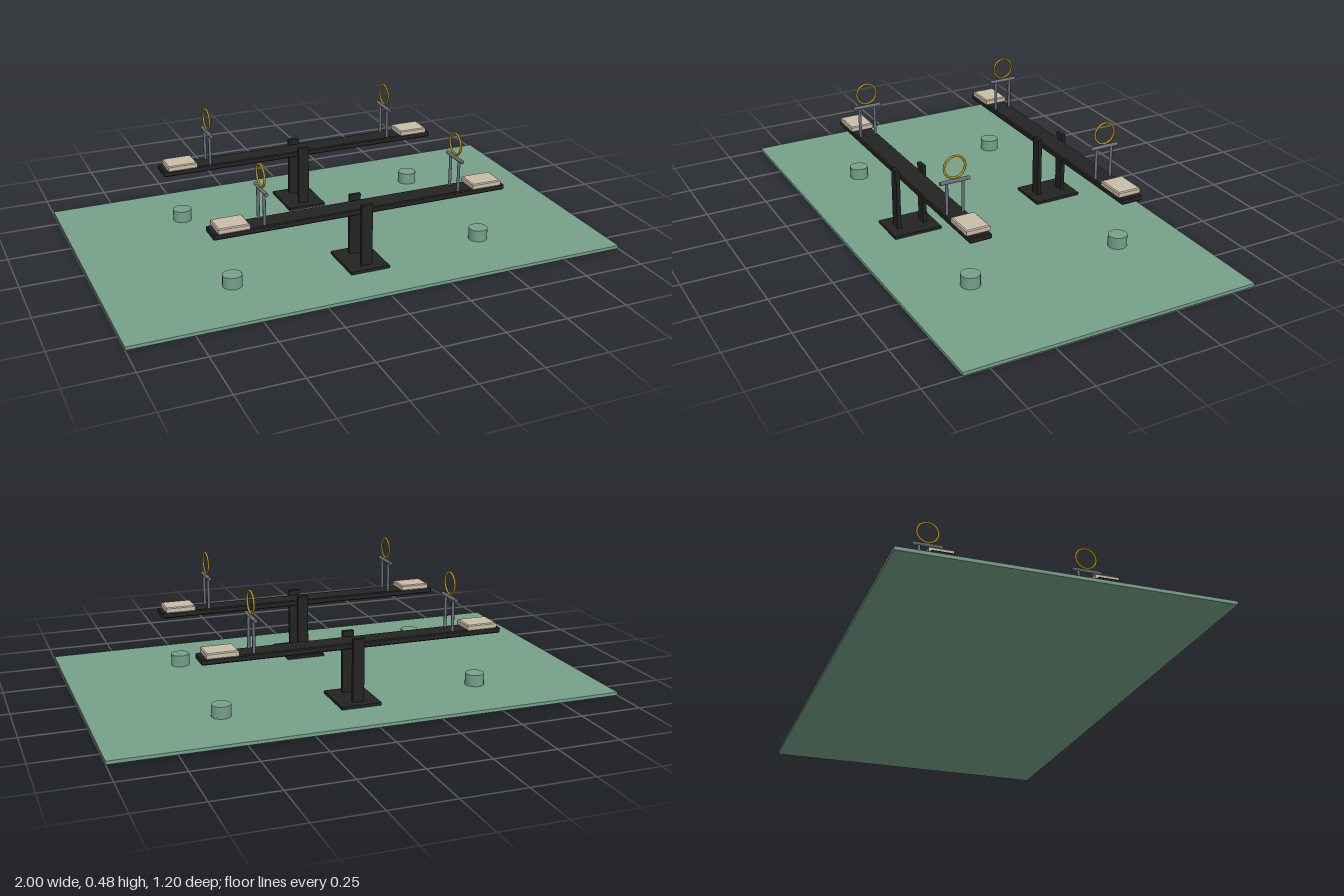
import * as THREE from 'three';

const mat = (name, color) => Object.assign(new THREE.MeshStandardMaterial({ color }), { name });

export function createModel() {
  const green = mat('playground green', 0x76a08a);
  const black = mat('painted black', 0x232323);
  const cream = mat('seat cream', 0xc9bda8);
  const steel = mat('steel grey', 0x6a6f78);
  const gold = mat('ring gold', 0xb08d14);
  const model = new THREE.Group();
  model.name = 'seesawPlayground';

  const add = (parent, name, geo, material, x, y, z) => {
    const mesh = new THREE.Mesh(geo, material);
    mesh.name = name;
    mesh.position.set(x, y, z);
    parent.add(mesh);
    return mesh;
  };
  const box = (w, h, d) => new THREE.BoxGeometry(w, h, d);
  const cyl = (r, h, n) => new THREE.CylinderGeometry(r, r, h, n);

  // Box with small chamfers along its edges
  const bevelBox = (w, h, d, b) => {
    const s = new THREE.Shape();
    const x = w / 2 - b, z = d / 2 - b;
    s.moveTo(-x, -z).lineTo(x, -z).lineTo(x, z).lineTo(-x, z).closePath();
    return new THREE.ExtrudeGeometry(s, {
      depth: h - 2 * b, bevelEnabled: true, bevelSize: b, bevelThickness: b, bevelSegments: 1,
    }).translate(0, 0, b - h / 2).rotateX(-Math.PI / 2);
  };

  // Ground mat
  add(model, 'groundMat', box(2, 0.013, 1.2), green, 0, 0.0065, 0);

  for (const side of [1, -1]) {
    const seesaw = new THREE.Group();
    seesaw.name = side > 0 ? 'frontSeesaw' : 'backSeesaw';
    seesaw.position.z = side * 0.32;
    model.add(seesaw);

    // Stand with two uprights and a pivot
    add(seesaw, 'footPlate', box(0.16, 0.011, 0.2), black, 0, 0.0185, 0);
    for (const s of [1, -1]) {
      add(seesaw, 'upright', box(0.045, 0.249, 0.016), black, 0, 0.1485, s * 0.056);
    }
    add(seesaw, 'pivot', cyl(0.008, 0.11, 12).rotateX(Math.PI / 2), black, 0, 0.24, 0);

    // Plank
    add(seesaw, 'plank', bevelBox(1.2, 0.024, 0.088, 0.004), black, 0, 0.241, 0);

    for (const e of [1, -1]) {
      // Seat
      add(seesaw, 'seat', bevelBox(0.122, 0.024, 0.096, 0.004), cream, e * 0.521, 0.262, 0);

      // Handle with ring
      for (const s of [1, -1]) {
        add(seesaw, 'handlePost', cyl(0.006, 0.13, 10), steel, e * 0.4, 0.315, s * 0.033);
      }
      add(seesaw, 'handleBar', cyl(0.0075, 0.12, 10).rotateX(Math.PI / 2), steel, e * 0.4, 0.382, 0);
      add(seesaw, 'handleRing', new THREE.TorusGeometry(0.043, 0.0045, 8, 16).rotateY(Math.PI / 2),
        gold, e * 0.4, 0.437, 0);

      // Bumper under the seat
      add(seesaw, 'bumper', cyl(0.038, 0.048, 16), green, e * 0.52, 0.036, 0);
    }
  }
  return model;
}
